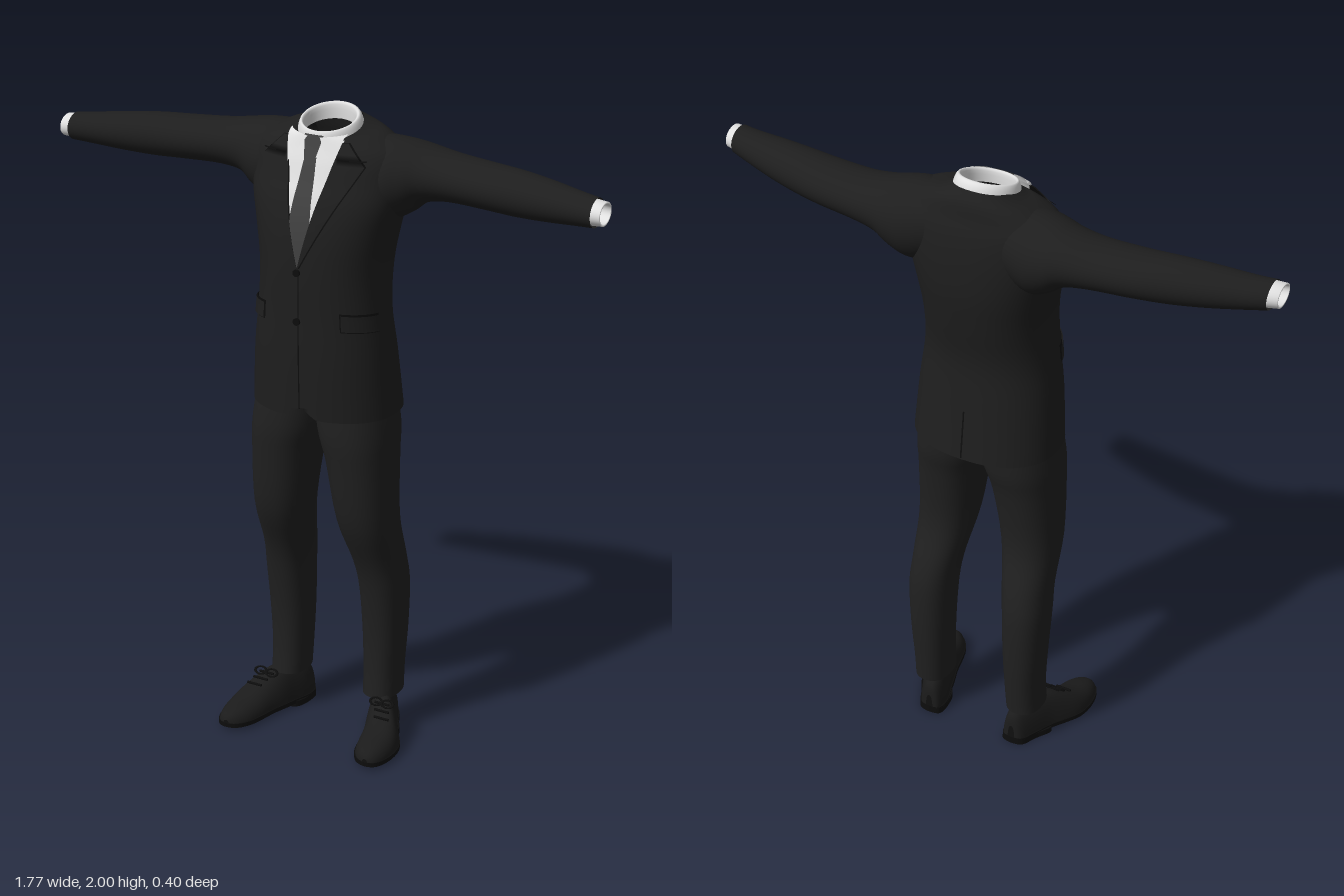
import * as THREE from 'three';
import { ParametricGeometry } from 'three/addons/geometries/ParametricGeometry.js';

const mat = (name, color) => {
  const m = new THREE.MeshStandardMaterial({ color, side: THREE.DoubleSide });
  m.name = name;
  return m;
};

// Smoothly resample a table of section rows
function smooth(rows, steps) {
  const out = [];
  const at = (i) => rows[Math.max(0, Math.min(rows.length - 1, i))];
  for (let i = 0; i < rows.length - 1; i++) {
    for (let s = 0; s < steps; s++) {
      const t = s / steps;
      out.push(at(i).map((b, k) => {
        const a = at(i - 1)[k], c = at(i + 1)[k], d = at(i + 2)[k];
        return b + 0.5 * t * (c - a + t * (2 * a - 5 * b + 4 * c - d + t * (3 * (b - c) + d - a)));
      }));
    }
  }
  out.push(rows[rows.length - 1]);
  return out;
}

// Skin closed rings; ring(row, angle) gives [x, y, z]
function loft(rows, ring, sides = 40) {
  const pos = [], idx = [];
  rows.forEach((row, i) => {
    for (let j = 0; j < sides; j++) {
      pos.push(...ring(row, (j / sides) * Math.PI * 2));
      if (i === rows.length - 1) continue;
      const a = i * sides + j, b = i * sides + ((j + 1) % sides);
      idx.push(a, a + sides, b, b, a + sides, b + sides);
    }
  });
  const g = new THREE.BufferGeometry();
  g.setAttribute('position', new THREE.Float32BufferAttribute(pos, 3));
  g.setIndex(idx);
  g.computeVertexNormals();
  return g;
}

const pw = (v, e) => Math.sign(v) * Math.abs(v) ** e;
const lerp = THREE.MathUtils.lerp;
const ROUND = 2.3, E = 2 / ROUND;

// Jacket body: y, half width, front z, back z, tilt
const BODY = smooth([
  [1.10, 0.23, 0.155, -0.195, 0], [1.28, 0.217, 0.16, -0.172, 0], [1.42, 0.2, 0.16, -0.16, 0],
  [1.55, 0.197, 0.16, -0.18, 0], [1.66, 0.214, 0.153, -0.195, 0], [1.75, 0.235, 0.133, -0.196, 0],
  [1.82, 0.242, 0.103, -0.19, 0], [1.87, 0.242, 0.083, -0.18, 0], [1.905, 0.22, 0.067, -0.168, 0],
  [1.935, 0.165, 0.055, -0.158, -0.1], [1.947, 0.12, 0.05, -0.145, -0.2], [1.957, 0.09, 0.045, -0.125, -0.26],
], 4);

function bodyRow(y) {
  let i = 0;
  while (i < BODY.length - 2 && BODY[i + 1][0] < y) i++;
  const a = BODY[i], b = BODY[i + 1];
  const t = THREE.MathUtils.clamp((y - a[0]) / (b[0] - a[0]), 0, 1);
  return a.map((v, k) => lerp(v, b[k], t));
}

// Front surface of the body, and a point by angle round it
function frontZ(x, y) {
  const [, w, f, b] = bodyRow(y);
  const k = Math.min(1, Math.abs(x) / w);
  return (f + b) / 2 + ((f - b) / 2) * (1 - k ** ROUND) ** (1 / ROUND);
}
function around(t, y, off) {
  const [, w, f, b] = bodyRow(y);
  return [(w + off) * pw(Math.cos(t), E), y, (f + b) / 2 + ((f - b) / 2 + off) * pw(Math.sin(t), E)];
}

const surface = (f, nu = 8, nv = 16) =>
  new ParametricGeometry((u, v, p) => p.set(...f(u, v)), nu, nv);
// Front patch between two edges x0(y), x1(y)
const frontPatch = (y0, y1, x0, x1, off) => surface((u, v) => {
  const y = lerp(y0, y1, v), x = lerp(x0(y), x1(y), u);
  return [x, y, frontZ(x, y) + off];
}, 8, 24);
const wrapPatch = (t0, t1, y0, y1, off, slope = 0) => surface((u, v) =>
  around(lerp(t0, t1, u), lerp(y0, y1, v) + slope * (u - 0.5), off), 12, 12);

export function createModel() {
  const jacketMat = mat('jacket cloth', 0x1e1e1e);
  const trouserMat = mat('trouser cloth', 0x202020);
  const shirtMat = mat('shirt white', 0xe0e0e0);
  const tieMat = mat('tie grey', 0x404040);
  const shoeMat = mat('shoe leather', 0x1b1b1b);
  const darkMat = mat('seam black', 0x0d0d0d);

  const model = new THREE.Group();
  const add = (parent, name, geo, material) => {
    const m = new THREE.Mesh(geo, material);
    m.name = name;
    parent.add(m);
    return m;
  };

  // Jacket body with the hem parted at the front
  add(model, 'jacketBody', loft(BODY, ([y, w, f, b, tilt], t) => {
    const x = w * pw(Math.cos(t), E), z = (f + b) / 2 + ((f - b) / 2) * pw(Math.sin(t), E);
    const part = y < 1.11 && z > 0 ? 0.04 * Math.exp(-((x / 0.03) ** 2)) : 0;
    return [x, y + part + tilt * (z - (f + b) / 2), z];
  }, 72), jacketMat);

  // Shirt front and tie
  const vee = (y) => Math.max(0, 0.088 * (y - 1.57) / 0.36);
  add(model, 'shirtFront', frontPatch(1.57, 1.935, (y) => -vee(y), vee, 0.004), shirtMat);
  const tieHalf = (y) => Math.min(vee(y), lerp(0.019, 0.036, THREE.MathUtils.clamp((1.885 - y) / 0.2, 0, 1)));
  add(model, 'tieBlade', frontPatch(1.575, 1.885, (y) => -tieHalf(y), tieHalf, 0.01), tieMat);
  const knotHalf = (y) => lerp(0.018, 0.031, (y - 1.88) / 0.065);
  add(model, 'tieKnot', frontPatch(1.88, 1.945, (y) => -knotHalf(y), knotHalf, 0.016), tieMat);

  // Standing shirt collar: half width, front z, back z, front y, back y
  add(model, 'shirtCollar', loft(smooth([
    [0.1, 0.062, -0.128, 1.905, 1.965], [0.094, 0.06, -0.12, 1.935, 1.988],
    [0.086, 0.054, -0.108, 1.952, 2.0], [0.078, 0.046, -0.098, 1.945, 1.992],
    [0.078, 0.045, -0.098, 1.91, 1.95],
  ], 3), ([w, f, b, yf, yb], t) => [w * Math.cos(t), lerp(yb, yf, (Math.sin(t) + 1) / 2),
    (f + b) / 2 + ((f - b) / 2) * Math.sin(t)]), shirtMat);

  // Front closing seam, back seam and vent
  add(model, 'frontSeam', frontPatch(1.13, 1.56, () => -0.002, () => 0.002, 0.002), darkMat);
  add(model, 'backVent', wrapPatch(-Math.PI / 2 - 0.006, -Math.PI / 2 + 0.006, 1.105, 1.26, 0.002), darkMat);
  for (const y of [1.555, 1.405]) {
    const button = add(model, 'button', new THREE.CylinderGeometry(0.011, 0.011, 0.008, 16), darkMat);
    button.rotation.x = Math.PI / 2;
    button.position.set(-0.005, y, frontZ(0, y) + 0.003);
  }

  // Everything paired is built for +x and mirrored
  const side = new THREE.Group();
  side.name = 'leftSide';

  // Lapel with dark outline and notch
  const lapelOut = (y) => (y < 1.885 ? 0.172 * (y - 1.565) / 0.32 : lerp(0.15, 0.105, (y - 1.885) / 0.045));
  add(side, 'lapelEdge', frontPatch(1.57, 1.93, (y) => vee(y) - 0.002, (y) => lapelOut(y) + 0.003, 0.006), darkMat);
  add(side, 'lapel', frontPatch(1.57, 1.93, vee, lapelOut, 0.011), jacketMat);
  add(side, 'lapelNotch', frontPatch(1.884, 1.888, () => 0.12, () => 0.168, 0.013), darkMat);

  // Pointed collar leaf
  add(side, 'collarLeaf', surface((u, v) => {
    const x = lerp(lerp(0.02, 0.092, u), 0.07, v), y = lerp(lerp(1.94, 1.95, u), 1.865, v);
    return [x, y, frontZ(x, y) + 0.017];
  }), shirtMat);

  // Pocket flap
  add(side, 'pocketFlapEdge', wrapPatch(0.2, 0.97, 1.38, 1.437, 0.003, 0.012), darkMat);
  add(side, 'pocketFlap', wrapPatch(0.215, 0.955, 1.384, 1.432, 0.007, 0.012), jacketMat);

  // Sleeve and shirt cuff: x, top, bottom, front z, back z
  const armRing = ([x, top, bot, f, b], t) => [x, (top + bot) / 2 + ((top - bot) / 2) * Math.cos(t),
    (f + b) / 2 - ((f - b) / 2) * Math.sin(t)];
  add(side, 'sleeve', loft(smooth([
    [0.11, 1.935, 1.72, 0.02, -0.17], [0.19, 1.934, 1.69, 0.05, -0.19], [0.25, 1.927, 1.715, 0.035, -0.192],
    [0.3, 1.917, 1.752, 0.015, -0.184], [0.38, 1.905, 1.766, 0.01, -0.171], [0.5, 1.899, 1.767, 0.02, -0.15],
    [0.6, 1.897, 1.767, 0.03, -0.124], [0.7, 1.89, 1.774, 0.042, -0.095], [0.8, 1.88, 1.785, 0.052, -0.06],
    [0.86, 1.876, 1.792, 0.061, -0.038],
  ], 4), armRing), jacketMat);
  add(side, 'shirtCuff', loft([
    [0.8, 1.872, 1.793, 0.046, -0.05], [0.85, 1.872, 1.798, 0.056, -0.034], [0.887, 1.87, 1.802, 0.06, -0.026],
    [0.887, 1.864, 1.808, 0.054, -0.02], [0.8, 1.862, 1.803, 0.038, -0.042],
  ], armRing), shirtMat);

  // Trouser leg: y, inner x, outer x, front z, back z
  add(side, 'trouserLeg', loft(smooth([
    [0.13, 0.108, 0.222, -0.003, -0.153], [0.22, 0.105, 0.222, -0.01, -0.16], [0.35, 0.1, 0.23, -0.008, -0.168],
    [0.5, 0.094, 0.236, 0.01, -0.168], [0.6, 0.083, 0.232, 0.035, -0.152], [0.75, 0.055, 0.233, 0.095, -0.112],
    [0.945, 0.025, 0.23, 0.122, -0.128], [1.05, -0.004, 0.226, 0.13, -0.148], [1.2, -0.02, 0.2, 0.12, -0.15],
  ], 4), ([y, xi, xo, f, b], t) => [(xi + xo) / 2 + ((xo - xi) / 2) * pw(Math.cos(t), E), y,
    (f + b) / 2 + ((f - b) / 2) * pw(Math.sin(t), E)]), trouserMat);

  // Shoe upper: z, centre x, half width, top y
  const SHOE = [
    [-0.153, 0.15, 0.012, 0.07], [-0.145, 0.151, 0.032, 0.11], [-0.1, 0.16, 0.046, 0.14], [-0.04, 0.184, 0.05, 0.145],
    [0.0, 0.203, 0.057, 0.132], [0.05, 0.226, 0.063, 0.1], [0.1, 0.236, 0.062, 0.077], [0.15, 0.241, 0.052, 0.065],
    [0.185, 0.246, 0.032, 0.052], [0.197, 0.248, 0.01, 0.035],
  ];
  add(side, 'shoeUpper', loft(smooth(SHOE, 3), ([z, c, w, top], t) => [c + w * pw(Math.cos(t), 0.8),
    0.02 + (top - 0.02) * Math.max(0, Math.sin(t)), z], 32), shoeMat);

  // Sole and heel from the shoe outline
  const slab = (rows, depth, y, name) => {
    const pts = [...rows.map(([z, c, w]) => new THREE.Vector2(c + w + 0.003, z)),
      ...rows.slice().reverse().map(([z, c, w]) => new THREE.Vector2(c - w - 0.003, z))];
    const shape = new THREE.Shape(new THREE.CatmullRomCurve3(
      pts.map((p) => new THREE.Vector3(p.x, p.y, 0)), true).getPoints(60).map((p) => new THREE.Vector2(p.x, p.y)));
    const g = new THREE.ExtrudeGeometry(shape, { depth, bevelEnabled: false });
    add(side, name, g.rotateX(Math.PI / 2), darkMat).position.y = y;
  };
  slab(SHOE, 0.014, 0.025, 'shoeSole');
  slab(SHOE.slice(0, 4), 0.02, 0.02, 'shoeHeel');

  // Laces and bow
  for (let i = 0; i < 3; i++) {
    const lace = add(side, 'lace', new THREE.CylinderGeometry(0.004, 0.004, 0.05, 8), darkMat);
    lace.rotation.z = Math.PI / 2;
    lace.position.set(0.208 + i * 0.01, 0.128 - i * 0.013, 0.012 + i * 0.021);
  }
  for (const s of [-1, 1]) {
    const bow = add(side, 'laceBow', new THREE.TorusGeometry(0.013, 0.003, 6, 16), darkMat);
    bow.scale.x = 1.5;
    bow.rotation.x = -0.9;
    bow.position.set(0.208 + s * 0.02, 0.132, 0.014);
  }

  const mirrored = side.clone();
  mirrored.name = 'rightSide';
  mirrored.scale.x = -1;
  model.add(side, mirrored);
  return model;
}
